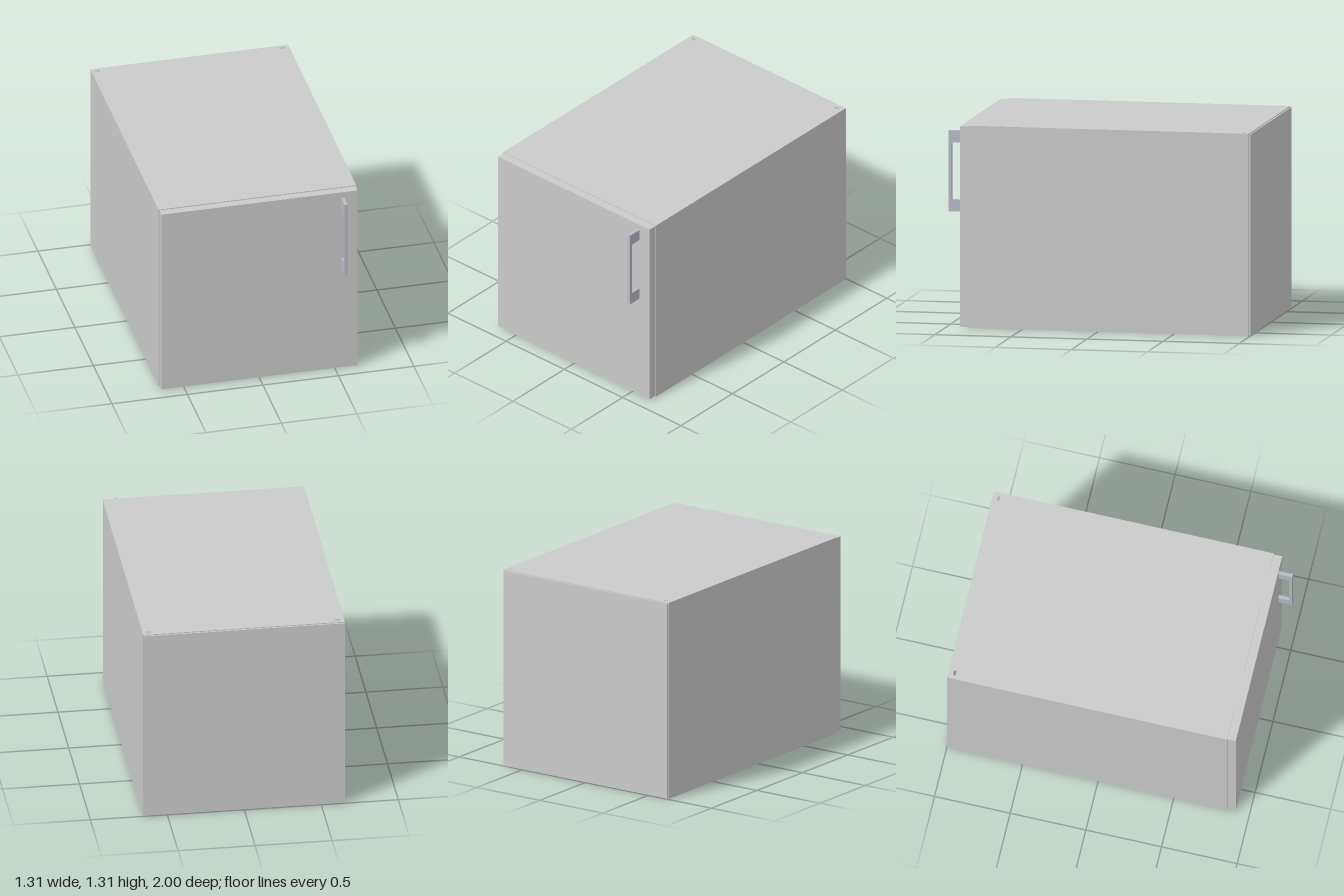
import * as THREE from 'three';

const W = 1.31, H = 1.314;          // carcass width and height
const BACK = -0.99, FRONT = 0.852;  // carcass depth range
const T = 0.01;                     // sheet thickness

export function createModel() {
  const group = new THREE.Group();
  const grey = new THREE.MeshStandardMaterial({ color: 0xcccccc });
  const metal = new THREE.MeshStandardMaterial({ color: 0xb9bbc6 });

  const add = (name, geometry, material = grey) => {
    const mesh = new THREE.Mesh(geometry, material);
    mesh.name = name;
    group.add(mesh);
    return mesh;
  };
  const box = (name, w, h, d, x, y, z) =>
    add(name, new THREE.BoxGeometry(w, h, d)).position.set(x, y, z);

  // Top and bottom sheets, each with two slots near the back corners
  const sheet = new THREE.Shape([
    [-W / 2, -FRONT], [W / 2, -FRONT], [W / 2, -BACK], [-W / 2, -BACK],
  ].map(([x, y]) => new THREE.Vector2(x, y)));
  for (const side of [-1, 1]) {
    const slot = new THREE.Path();
    const cx = side * 0.613, cy = 0.957, r = 0.008, half = 0.009;
    slot.absarc(cx + half, cy, r, -Math.PI / 2, Math.PI / 2, false);
    slot.absarc(cx - half, cy, r, Math.PI / 2, Math.PI * 1.5, false);
    slot.closePath();
    sheet.holes.push(slot);
  }
  const sheetGeometry = new THREE.ExtrudeGeometry(sheet, { depth: T, bevelEnabled: false, curveSegments: 8 });
  sheetGeometry.rotateX(-Math.PI / 2);
  add('bottomPanel', sheetGeometry);
  add('topPanel', sheetGeometry).position.y = H - T;

  // Side walls between the sheets
  const depth = FRONT - BACK, midZ = (FRONT + BACK) / 2;
  box('leftPanel', T, H - 2 * T, depth, W / 2 - T / 2, H / 2, midZ);
  box('rightPanel', T, H - 2 * T, depth, -W / 2 + T / 2, H / 2, midZ);

  // Back panel and door, set in slightly from the carcass edges
  box('backPanel', W - 0.01, H - 0.012, 0.01, 0, H / 2, BACK - 0.005);
  box('door', W - 0.01, H - 0.012, 0.056, 0, H / 2, FRONT + 0.028);

  // C-shaped pull handle, drawn in side profile (z, y) and extruded across x
  const profile = new THREE.Shape([
    [0.908, 0.741], [1, 0.741], [1, 1.267], [0.908, 1.267],
    [0.908, 1.19], [0.975, 1.19], [0.98, 1.185],
    [0.98, 0.823], [0.975, 0.818], [0.908, 0.818],
  ].map(([z, y]) => new THREE.Vector2(z, y)));
  const handleGeometry = new THREE.ExtrudeGeometry(profile, { depth: 0.022, bevelEnabled: false });
  handleGeometry.rotateY(-Math.PI / 2);
  add('handle', handleGeometry, metal).position.x = 0.562;

  return group;
}
